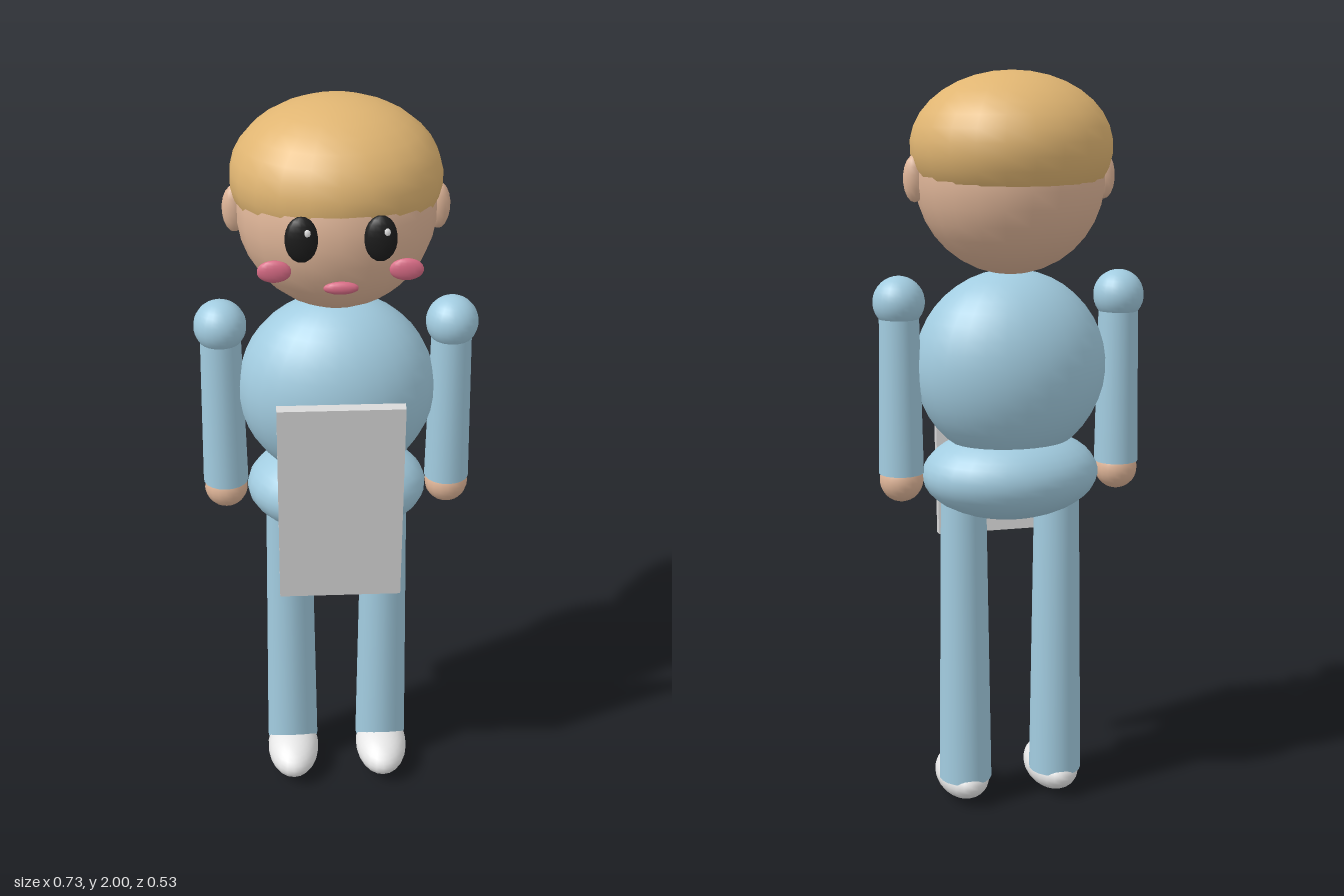
import * as THREE from 'three';

const paint = (name, color) => {
  const m = new THREE.MeshStandardMaterial({ color });
  m.name = name;
  return m;
};

export function createModel() {
  const skin = paint('skin', 0xdfb598);
  const hairTone = paint('hair', 0xe0b572);
  const cloth = paint('blue cloth', 0xa2cce0);
  const black = paint('eye black', 0x1c1c1c);
  const pink = paint('pink', 0xd96c86);
  const white = paint('white', 0xf0f0f0);
  const boardGrey = paint('board grey', 0xd8d8d8);

  const model = new THREE.Group();
  model.name = 'figure';

  const add = (name, geometry, material, x, y, z) => {
    const mesh = new THREE.Mesh(geometry, material);
    mesh.name = name;
    mesh.position.set(x, y, z);
    model.add(mesh);
    return mesh;
  };
  // Ellipsoid from centre and three radii
  const ball = (name, material, [x, y, z], [rx, ry, rz], segments = 22) => {
    const g = new THREE.SphereGeometry(1, segments, Math.round(segments * 0.75));
    g.rotateY(Math.PI / 2).scale(rx, ry, rz);
    return add(name, g, material, x, y, z);
  };
  // Upright tapered limb between two heights
  const limb = (name, material, x, bottom, top, rBottom, rTop) =>
    add(name, new THREE.CylinderGeometry(rTop, rBottom, top - bottom, 20), material,
      x, (bottom + top) / 2, 0);

  // Head and hair
  ball('head', skin, [0, 1.73, 0], [0.248, 0.25, 0.239]);
  ball('hair', hairTone, [0, 1.81, -0.017], [0.263, 0.19, 0.25]);
  ball('mouth', pink, [0, 1.617, 0.235], [0.043, 0.016, 0.012], 14);

  // Torso and hips
  ball('torso', cloth, [0, 1.235, 0], [0.257, 0.257, 0.2], 28);
  ball('hips', cloth, [0, 0.943, 0], [0.24, 0.123, 0.186], 28);

  // Paired parts
  for (const [side, s] of [['left', 1], ['right', -1]]) {
    ball(side + 'Ear', skin, [s * 0.252, 1.73, -0.002], [0.03, 0.06, 0.025], 12);
    ball(side + 'Eye', black, [s * 0.093, 1.74, 0.232], [0.04, 0.057, 0.022], 14);
    // Highlights sit on the same side of both eyes
    ball(side + 'EyeHighlight', white, [s * 0.093 + 0.012, 1.76, 0.246], [0.011, 0.012, 0.007], 8);
    ball(side + 'Cheek', pink, [s * 0.158, 1.648, 0.202], [0.042, 0.028, 0.013], 14);

    ball(side + 'Shoulder', cloth, [s * 0.298, 1.415, 0], [0.068, 0.068, 0.068]);
    limb(side + 'Arm', cloth, s * 0.298, 0.96, 1.415, 0.06, 0.052);
    ball(side + 'Hand', skin, [s * 0.298, 0.94, 0], [0.058, 0.058, 0.058], 18);

    limb(side + 'Leg', cloth, s * 0.13, 0.07, 0.91, 0.073, 0.061);
    ball(side + 'Shoe', white, [s * 0.13, 0.06, 0.045], [0.074, 0.06, 0.127]);
  }

  // Flat board in front of the body, leaning forward at the top
  const board = add('board', new THREE.BoxGeometry(0.32, 0.585, 0.028), boardGrey, 0, 1.013, 0.229);
  board.rotation.x = 0.08;

  return model;
}
